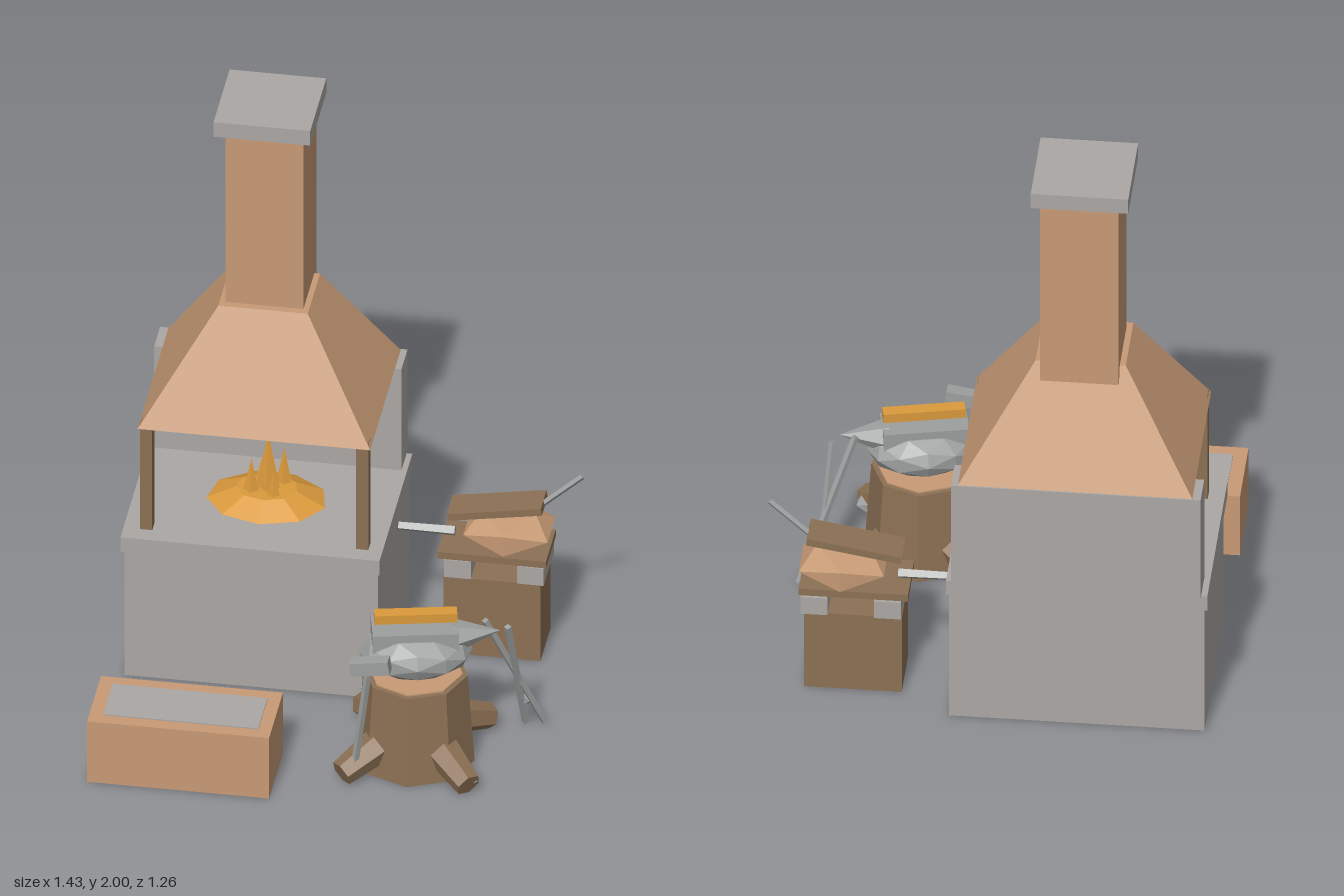
import * as THREE from 'three';

const mat = (name, color) => {
  const m = new THREE.MeshStandardMaterial({ color, flatShading: true });
  m.name = name;
  return m;
};

export function createModel() {
  const root = new THREE.Group();
  root.name = 'blacksmithForge';
  const stone = mat('stone grey', 0xaaa7a4);
  const iron = mat('iron grey', 0x9d9f9f);
  const tan = mat('tan copper', 0xc79a75);
  const wood = mat('brown wood', 0x8c7054);
  const fire = mat('glowing orange', 0xdb9a3c);

  const add = (name, geo, material, pos = [0, 0, 0], parent = root) => {
    const m = new THREE.Mesh(geo, material);
    m.name = name;
    m.position.set(...pos);
    parent.add(m);
    return m;
  };
  // Box given by its limits on each axis
  const box = (name, material, [x0, x1], [y0, y1], [z0, z1], parent) =>
    add(name, new THREE.BoxGeometry(x1 - x0, y1 - y0, z1 - z0), material,
      [(x0 + x1) / 2, (y0 + y1) / 2, (z0 + z1) / 2], parent);
  // Tapered bar between two points
  const bar = (name, material, a, b, r0, r1 = r0, sides = 4, parent = root) => {
    const A = new THREE.Vector3(...a), B = new THREE.Vector3(...b);
    const dir = B.clone().sub(A);
    const m = add(name, new THREE.CylinderGeometry(r1, r0, dir.length(), sides), material,
      A.clone().add(B).multiplyScalar(0.5).toArray(), parent);
    m.quaternion.setFromUnitVectors(new THREE.Vector3(0, 1, 0), dir.normalize());
    return m;
  };

  // Forge hearth
  box('hearthBase', stone, [-0.7, 0.118], [0, 0.48], [-0.602, -0.003]);
  box('hearthSlab', stone, [-0.71, 0.126], [0.48, 0.535], [-0.615, 0.016]);
  box('backWall', stone, [-0.69, 0.108], [0.535, 0.92], [-0.63, -0.515]);
  for (const x of [-0.637, 0.06]) {
    box('hoodPost', wood, [x - 0.02, x + 0.02], [0.535, 0.935], [-0.085, -0.042]);
  }

  // Hood: a box whose upper corners are drawn in
  const hood = new THREE.BoxGeometry(0.75, 0.38, 0.59);
  const p = hood.attributes.position;
  for (let i = 0; i < p.count; i++) {
    if (p.getY(i) > 0) {
      p.setX(i, p.getX(i) * 0.385);
      p.setZ(i, p.getZ(i) * 0.4);
    }
  }
  hood.computeVertexNormals();
  add('hood', hood, tan, [-0.288, 1.11, -0.33]);
  box('chimney', tan, [-0.413, -0.162], [1.25, 1.95], [-0.487, -0.237]);
  box('chimneyCap', stone, [-0.447, -0.135], [1.945, 2], [-0.517, -0.207]);

  // Fire: a low ember bed and pointed flames
  const embers = add('emberBed', new THREE.CylinderGeometry(0.1, 0.2, 0.045, 9), fire, [-0.287, 0.555, -0.287]);
  embers.scale.z = 0.8;
  const flames = [[-0.285, -0.3, 0.77, 0.045], [-0.335, -0.27, 0.69, 0.03], [-0.24, -0.335, 0.7, 0.03],
    [-0.26, -0.25, 0.66, 0.027], [-0.31, -0.34, 0.66, 0.027]];
  for (const [x, z, top, r] of flames) {
    bar('flame', fire, [x, 0.56, z], [x, top, z], r, 0, 5);
  }

  // Quenching trough
  box('trough', tan, [-0.715, -0.128], [0, 0.23], [0.36, 0.627]);
  box('troughWater', stone, [-0.67, -0.17], [0.228, 0.234], [0.404, 0.583]);

  // Stump with a pale cut top and four roots
  const stump = add('stump', new THREE.CylinderGeometry(0.168, 0.19, 0.32, 8), [wood, wood, wood], [0.29, 0.16, 0.3]);
  stump.name = 'stump';
  add('stumpCut', new THREE.CylinderGeometry(0.152, 0.152, 0.006, 8), tan, [0.29, 0.322, 0.3]);
  for (const sx of [-1, 1]) {
    for (const sz of [-1, 1]) {
      bar('root', wood, [0.29 + sx * 0.09, 0.1, 0.3 + sz * 0.09],
        [0.29 + sx * 0.205, 0.04, 0.3 + sz * 0.205], 0.06, 0.043, 6);
    }
  }
  const lump = add('stoneLump', new THREE.IcosahedronGeometry(0.042, 0), iron, [0.485, 0.045, 0.465]);
  lump.scale.y = 0.7;

  // Anvil with horn and a glowing bar
  const anvil = new THREE.Group();
  anvil.name = 'anvil';
  anvil.position.set(0.29, 0, 0.3);
  anvil.rotation.y = 0.22;
  root.add(anvil);
  const body = add('anvilBody', new THREE.IcosahedronGeometry(1, 1), iron, [0, 0.4, 0], anvil);
  body.scale.set(0.182, 0.083, 0.13);
  box('anvilFace', iron, [-0.14, 0.135], [0.43, 0.495], [-0.062, 0.062], anvil);
  bar('anvilHorn', iron, [0.12, 0.45, 0], [0.27, 0.465, 0], 0.058, 0, 6, anvil);
  box('hotBar', fire, [-0.132, 0.132], [0.514, 0.546], [-0.022, 0.022], anvil);

  // Hammer leaning on the stump
  bar('hammerHandle', iron, [0.118, 0.01, 0.488], [0.172, 0.45, 0.497], 0.012);
  const head = box('hammerHead', iron, [0.115, 0.24], [0.43, 0.478], [0.476, 0.52]);
  head.rotation.z = 0.15;

  // Tongs
  bar('tongArm', iron, [0.665, 0.01, 0.055], [0.5, 0.48, 0.215], 0.012);
  bar('tongArm', iron, [0.605, 0.01, 0.065], [0.572, 0.46, 0.21], 0.012);
  add('tongPivot', new THREE.IcosahedronGeometry(0.02, 0), iron, [0.61, 0.11, 0.085]);

  // Bellows on a wooden stand
  box('bellowsStand', wood, [0.28, 0.592], [0, 0.29], [-0.49, -0.3]);
  for (const x of [0.325, 0.56]) {
    box('bellowsSupport', stone, [x - 0.043, x + 0.043], [0.29, 0.355], [-0.5, -0.296]);
  }
  box('lowerBoard', wood, [0.26, 0.61], [0.355, 0.38], [-0.49, -0.3]);
  const bag = add('bellowsBag', new THREE.IcosahedronGeometry(1, 0), tan, [0.475, 0.437, -0.4]);
  bag.scale.set(0.16, 0.07, 0.145);
  const upper = box('upperBoard', wood, [0.283, 0.59], [0.5, 0.525], [-0.455, -0.342]);
  upper.rotation.z = 0.17;
  bar('bellowsHandle', iron, [0.585, 0.535, -0.4], [0.712, 0.652, -0.4], 0.01);
  bar('bellowsNozzle', iron, [0.3, 0.4, -0.4], [0.11, 0.4, -0.4], 0.018, 0.015);

  return root;
}
